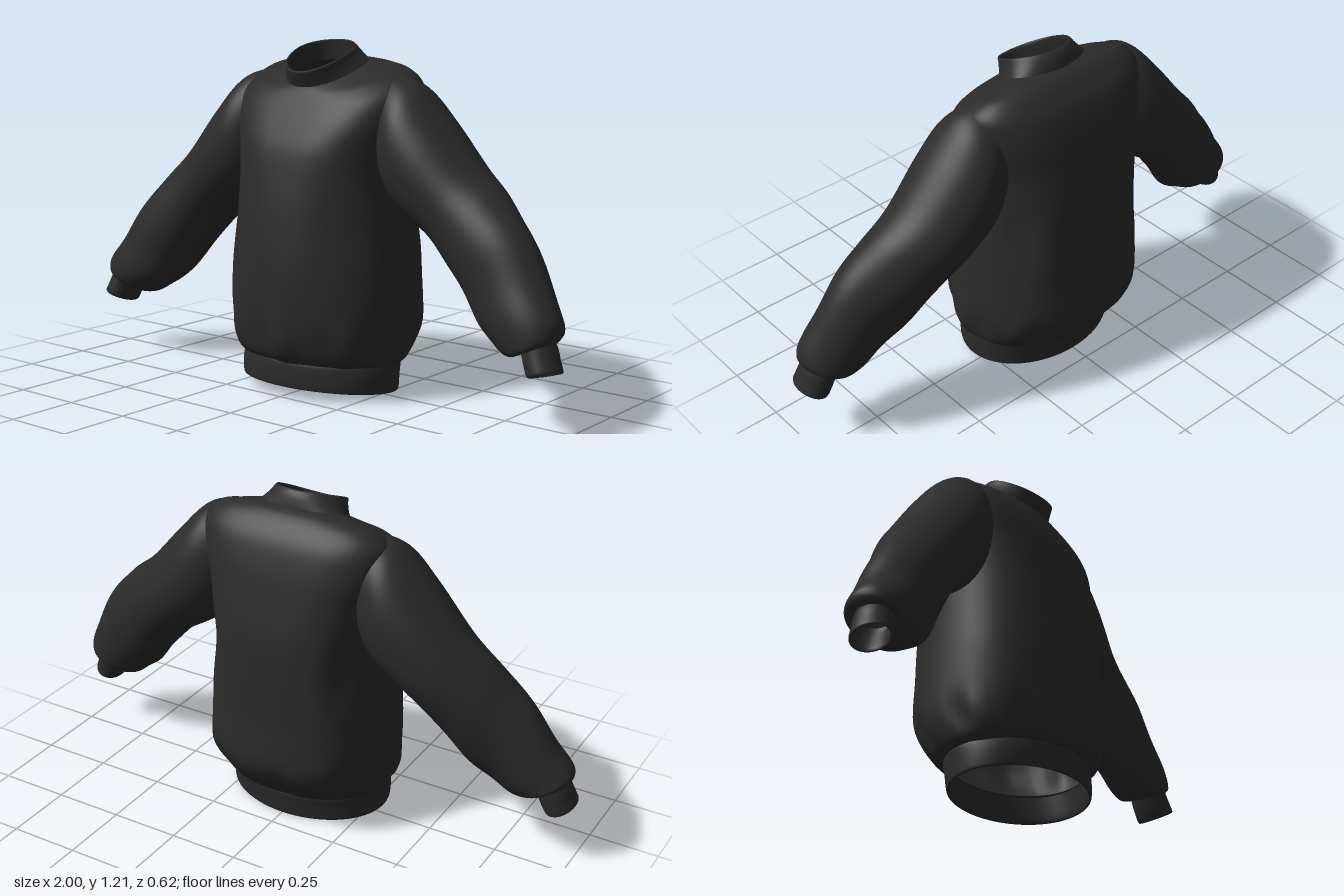
import * as THREE from 'three';

const SEG = 72;
const cloth = new THREE.MeshStandardMaterial({ color: 0x2b2b2b, roughness: 0.9, side: THREE.DoubleSide });

// Smoothly resample a short list of cross-section parameters
function resample(keys, steps) {
  const n = keys.length - 1;
  const cubic = (a, b, c, d, t) =>
    b + 0.5 * t * (c - a + t * (2 * a - 5 * b + 4 * c - d + t * (3 * (b - c) + d - a)));
  return Array.from({ length: n * steps + 1 }, (_, s) => {
    const i = Math.min(Math.floor(s / steps), n - 1);
    const at = (k) => keys[Math.max(0, Math.min(n, k))];
    return keys[0].map((_, c) => cubic(at(i - 1)[c], at(i)[c], at(i + 1)[c], at(i + 2)[c], s / steps - i));
  });
}

// Skin a stack of closed rings
function loft(name, sections, ringPoint, mirror = 1) {
  const pos = [], index = [];
  sections.forEach((sec, i) => {
    for (let j = 0; j < SEG; j++) {
      const p = ringPoint(sec, (j / SEG) * Math.PI * 2, i / (sections.length - 1));
      pos.push(p[0] * mirror, p[1], p[2]);
      if (i === sections.length - 1) continue;
      const a = i * SEG + j, b = i * SEG + (j + 1) % SEG, c = a + SEG, d = b + SEG;
      if (mirror > 0) index.push(a, b, c, b, d, c);
      else index.push(a, c, b, b, c, d);
    }
  });
  const geo = new THREE.BufferGeometry();
  geo.setAttribute('position', new THREE.Float32BufferAttribute(pos, 3));
  geo.setIndex(index);
  geo.computeVertexNormals();
  const mesh = new THREE.Mesh(geo, cloth);
  mesh.name = name;
  return mesh;
}

const bump = (x, mid, width) => Math.exp(-(((x - mid) / width) ** 2));

// Body ring: [front y, back y, half width, front z, back z, widest z, side lift, squareness exponent]
function bodyPoint([yf, yb, rx, zf, zb, zc, lift, e = 1], t) {
  const c = Math.cos(t), s = Math.sin(t);
  const z = zc + c * (c > 0 ? zf - zc : zc - zb);
  const y = yb + ((yf - yb) * (z - zb)) / (zf - zb) + lift * s * s;
  const power = c < 0 && e < 1 ? e * 0.88 : e;
  return [rx * Math.sign(s) * Math.abs(s) ** power, y, z];
}

// Body ring with gathers above the waistband, drape folds and armpit creases
function foldedPoint(sec, t) {
  const p = bodyPoint(sec, t);
  const gather = 0.022 * bump(p[1], 0.2, 0.07) * (Math.sin(9 * t + 0.6) + 0.5 * Math.sin(17 * t));
  const drape = 0.016 * bump(p[1], 0.5, 0.28) * Math.sin(5 * t + 1.5 * p[1] + 0.8);
  const notch = -0.04 * bump(p[1], 0.33, 0.17) * bump(p[0], -0.03, 0.035) * (p[2] > 0 ? 1 : 0);
  const crease = -0.12 * bump(p[1], 0.64, 0.1) * bump(Math.abs(p[0]), 0.26, 0.035) * (p[2] < 0 ? 1 : 0);
  const k = 1 + gather + drape + notch;
  return [p[0] * k, p[1], p[2] * (k + crease)];
}

// Sleeve ring: [top x, top y, bottom x, bottom y, front z, back z]
function sleevePoint([tx, ty, bx, by, zf, zb], t) {
  const c = 0.5 + 0.5 * Math.cos(t);
  return [bx + (tx - bx) * c, by + (ty - by) * c, (zf + zb) / 2 + ((zf - zb) / 2) * Math.sin(t)];
}
// Soft diagonal folds along the forearm
function wrinkledPoint(sec, t, v) {
  const [x, y, z] = sleevePoint(sec, t);
  const w = 0.003 * Math.sin(2 * t + 24 * v) * bump(v, 0.6, 0.2);
  return [x + w * Math.cos(t), y + w * Math.cos(t), z + w * Math.sin(t)];
}
// Cuff opening tips up at the front
const cuffPoint = (sec, t) => {
  const [x, y, z] = sleevePoint(sec, t);
  return [x, y + 0.012 * Math.sin(t), z];
};

export function createModel() {
  const group = new THREE.Group();
  group.name = 'sweatshirt';

  // Torso, from the waistband seam up to the neckline
  group.add(loft('torso', resample([
    [0.125, 0.10, 0.300, 0.245, -0.195, 0.02, 0, 1],
    [0.16, 0.14, 0.328, 0.275, -0.240, 0.02, 0, 0.97],
    [0.26, 0.26, 0.343, 0.302, -0.306, 0.00, 0, 0.94],
    [0.43, 0.43, 0.337, 0.304, -0.304, 0.00, 0, 0.93],
    [0.60, 0.60, 0.322, 0.290, -0.303, -0.01, 0, 0.9],
    [0.74, 0.75, 0.314, 0.268, -0.293, -0.02, 0, 0.8],
    [0.85, 0.88, 0.322, 0.242, -0.266, -0.03, 0, 0.68],
    [0.93, 0.98, 0.345, 0.205, -0.240, -0.04, 0.01, 0.62],
    [0.99, 1.06, 0.348, 0.171, -0.210, -0.05, 0.03, 0.67],
    [1.03, 1.11, 0.298, 0.147, -0.175, -0.06, 0.03, 0.76],
    [1.048, 1.14, 0.228, 0.136, -0.142, -0.065, 0.018, 0.9],
    [1.06, 1.154, 0.168, 0.125, -0.112, -0.05, 0.012, 1],
    [1.065, 1.16, 0.140, 0.112, -0.092, -0.02, 0.01, 1],
  ], 6), foldedPoint));

  // Waistband with its hem turned inside
  group.add(loft('waistband', resample([
    [0.13, 0.10, 0.288, 0.233, -0.18, 0.02, 0],
    [0.05, 0.015, 0.292, 0.238, -0.168, 0.03, 0],
    [0.04, 0.003, 0.300, 0.246, -0.178, 0.03, 0],
    [0.05, 0.012, 0.304, 0.251, -0.184, 0.03, 0],
    [0.09, 0.06, 0.305, 0.251, -0.192, 0.03, 0],
    [0.128, 0.10, 0.302, 0.248, -0.199, 0.02, 0],
    [0.135, 0.11, 0.292, 0.236, -0.186, 0.02, 0],
  ], 4), bodyPoint));

  // Ribbed neckband, rolled over its top edge
  group.add(loft('collar', resample([
    [1.048, 1.142, 0.170, 0.125, -0.112, -0.045, 0.010],
    [1.063, 1.162, 0.150, 0.133, -0.108, -0.03, 0.010],
    [1.09, 1.19, 0.130, 0.146, -0.098, 0.0, 0.010],
    [1.108, 1.207, 0.122, 0.152, -0.086, 0.02, 0.01],
    [1.109, 1.209, 0.116, 0.142, -0.078, 0.02, 0.01],
    [1.09, 1.19, 0.118, 0.132, -0.082, 0.02, 0.01],
    [1.05, 1.14, 0.134, 0.114, -0.090, 0.0, 0.01],
  ], 4), bodyPoint));

  // Sleeves, the right one hanging a little lower and further forward
  const sleeve = [
    [0.25, 1.105, 0.25, 0.76, 0.070, -0.150],
    [0.365, 1.076, 0.310, 0.670, 0.124, -0.196],
    [0.47, 0.975, 0.38, 0.618, 0.134, -0.206],
    [0.61, 0.820, 0.47, 0.560, 0.125, -0.190],
    [0.72, 0.735, 0.56, 0.465, 0.128, -0.150],
    [0.82, 0.632, 0.64, 0.375, 0.140, -0.110],
    [0.91, 0.50, 0.71, 0.305, 0.153, -0.070],
    [0.97, 0.395, 0.775, 0.255, 0.161, -0.045],
    [0.983, 0.34, 0.825, 0.245, 0.158, -0.030],
    [0.968, 0.305, 0.86, 0.265, 0.138, 0.005],
  ];
  const cuff = resample([
    [0.955, 0.325, 0.855, 0.285, 0.136, 0.008],
    [0.972, 0.295, 0.864, 0.258, 0.140, 0.008],
    [0.985, 0.26, 0.878, 0.222, 0.148, 0.012],
    [0.998, 0.228, 0.893, 0.192, 0.154, 0.017],
    [0.990, 0.228, 0.901, 0.197, 0.147, 0.025],
    [0.965, 0.29, 0.875, 0.258, 0.132, 0.018],
  ], 4);
  for (const [side, m, droop] of [['left', 1, 0], ['right', -1, 1]]) {
    const keys = sleeve.map(([tx, ty, bx, by, zf, zb], i) => {
      const d = droop * bump(i, 5.2, 1.9);
      return [tx, ty - 0.06 * d, bx, by - 0.04 * d, zf + 0.028 * d, zb + 0.015 * d];
    });
    group.add(loft(side + 'Sleeve', resample(keys, 7), wrinkledPoint, m));
    group.add(loft(side + 'Cuff', cuff, cuffPoint, m));
  }
  return group;
}
